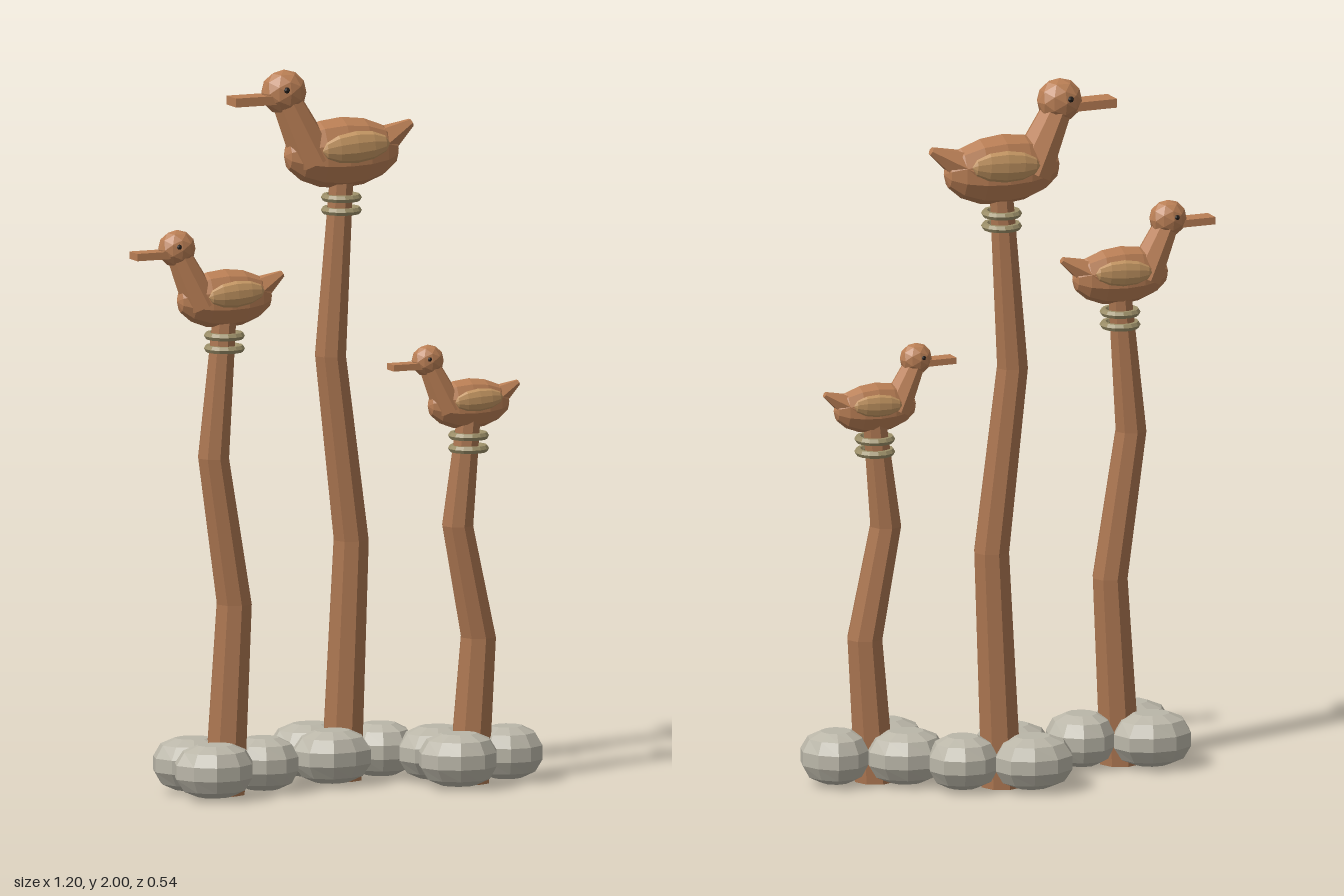
import * as THREE from 'three';

const flat = (color) => new THREE.MeshStandardMaterial({ color, flatShading: true });
const WOOD = flat(0xba7f55);
const POST = flat(0xaa7550);
const WING = flat(0xc59763);
const ROPE = flat(0x9d9069);
const STONE = flat(0xbab6a8);
const EYE = flat(0x221c18);

function add(parent, name, geometry, material, x = 0, y = 0, z = 0) {
  const mesh = new THREE.Mesh(geometry, material);
  mesh.name = name;
  mesh.position.set(x, y, z);
  parent.add(mesh);
  return mesh;
}

// Tapered rod between two points
function rod(parent, name, from, to, r0, r1, sides, material) {
  const a = new THREE.Vector3(...from), b = new THREE.Vector3(...to);
  const dir = b.clone().sub(a);
  const mesh = add(parent, name, new THREE.CylinderGeometry(r1, r0, dir.length(), sides), material);
  mesh.position.copy(a).add(b).multiplyScalar(0.5);
  mesh.quaternion.setFromUnitVectors(new THREE.Vector3(0, 1, 0), dir.normalize());
  return mesh;
}

// Bird facing -x, origin at the middle of its body
function makeBird() {
  const bird = new THREE.Group();
  bird.name = 'bird';

  const body = new THREE.SphereGeometry(1, 10, 8).rotateZ(Math.PI / 2).scale(0.175, 0.1, 0.07);
  add(bird, 'body', body, WOOD);
  rod(bird, 'neck', [-0.085, -0.015, 0], [-0.17, 0.16, 0], 0.065, 0.043, 8, WOOD);
  const head = new THREE.IcosahedronGeometry(0.066, 1).scale(1, 0.96, 0.8);
  add(bird, 'head', head, WOOD, -0.175, 0.18, 0);
  add(bird, 'bill', new THREE.BoxGeometry(0.14, 0.025, 0.065), WOOD, -0.265, 0.163, 0);
  rod(bird, 'tail', [0.09, 0.005, 0], [0.213, 0.072, 0], 0.06, 0.012, 6, WOOD);

  for (const side of [1, -1]) {
    const wing = new THREE.SphereGeometry(1, 10, 6).rotateZ(Math.PI / 2).scale(0.103, 0.045, 0.02);
    add(bird, 'wing', wing, WING, 0.015, 0.023, side * 0.068).rotation.z = 0.06;
    add(bird, 'eye', new THREE.SphereGeometry(0.009, 6, 4), EYE, -0.188, 0.192, side * 0.05);
  }
  return bird;
}

// Crooked post: a tapered cylinder with its rings moved to a bent line
function makePost(height) {
  const levels = [1, 0.71, 0.4, 0];
  const sway = [0, -0.033, 0.03, 0];
  const radii = [0.035, 0.046, 0.052, 0.06];
  const geo = new THREE.CylinderGeometry(1, 1, 3, 8, 3);
  const p = geo.attributes.position;
  for (let i = 0; i < p.count; i++) {
    const k = Math.round(1.5 - p.getY(i));
    p.setXYZ(i, p.getX(i) * radii[k] + sway[k], levels[k] * height, p.getZ(i) * radii[k]);
  }
  return geo;
}

// Boulder: a lumpy low-poly sphere with flattened top and bottom
function makeStone(rx, rz, seed) {
  const geo = new THREE.SphereGeometry(1, 10, 7);
  const p = geo.attributes.position;
  for (let i = 0; i < p.count; i++) {
    const x = p.getX(i), y = p.getY(i), z = p.getZ(i);
    const lump = 1 + 0.045 * Math.sin(4 * x + seed) * Math.cos(3 * z + seed * 2);
    const flatY = THREE.MathUtils.clamp(y * 1.15, -0.95, 0.95);
    p.setXYZ(i, x * rx * lump, flatY * 0.076, z * rz * lump);
  }
  return geo;
}

function makeFigure(name, x, z, bodyY, scale, seed) {
  const figure = new THREE.Group();
  figure.name = name;
  figure.position.set(x, 0, z);

  add(figure, 'post', makePost(bodyY - 0.125 * scale + 0.045), POST);

  // Rope bands under the bird
  for (const drop of [0, 0.036]) {
    const band = new THREE.TorusGeometry(0.046, 0.011, 6, 14).rotateX(Math.PI / 2);
    add(figure, 'ropeBand', band, ROPE, 0, bodyY - 0.125 * scale - drop, 0);
  }

  const bird = makeBird();
  bird.position.y = bodyY;
  bird.scale.setScalar(scale);
  figure.add(bird);

  // Stones around the foot
  [[-0.063, 0.075, 0.117, 0.1], [-0.063, -0.075, 0.115, 0.1], [0.118, 0, 0.1, 0.098]]
    .forEach(([sx, sz, rx, rz], i) =>
      add(figure, 'stone', makeStone(rx, rz, seed + i * 1.7), STONE, sx, 0.08, sz));
  return figure;
}

export function createModel() {
  const model = new THREE.Group();
  model.name = 'birdsOnPosts';
  model.add(makeFigure('tallFigure', 0.083, -0.103, 1.757, 1, 0.4));
  model.add(makeFigure('middleFigure', -0.328, 0.018, 1.389, 0.827, 2.1));
  model.add(makeFigure('shortFigure', 0.38, 0.096, 1.062, 0.71, 3.9));
  return model;
}
